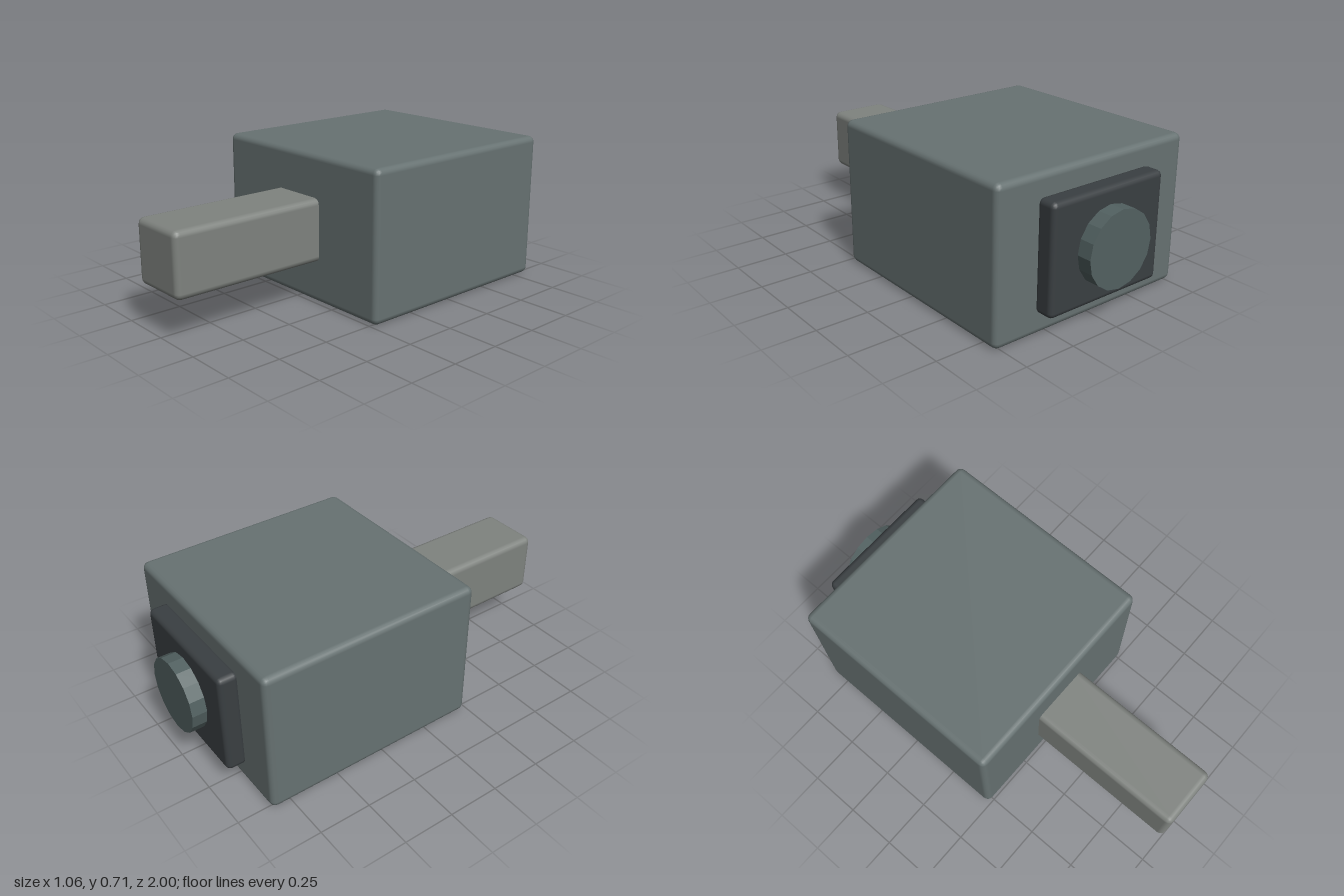
import * as THREE from 'three';
import { RoundedBoxGeometry } from 'three/addons/geometries/RoundedBoxGeometry.js';

const AXIS_Y = 0.355; // shared centre height of all parts

// Soft-edged box centred on the long axis, spanning z0..z1
function softBox(name, width, height, z0, z1, radius, color) {
  const mesh = new THREE.Mesh(
    new RoundedBoxGeometry(width, height, z1 - z0, 2, radius),
    new THREE.MeshStandardMaterial({ color })
  );
  mesh.name = name;
  mesh.position.set(0, AXIS_Y, (z0 + z1) / 2);
  return mesh;
}

export function createModel() {
  const model = new THREE.Group();
  model.name = 'boxWithBar';

  // Main housing, front bar and rear plate
  model.add(
    softBox('housing', 1.06, 0.71, -0.845, 0.24, 0.03, 0x677272),
    softBox('frontBar', 0.303, 0.303, 0.2, 1, 0.03, 0x7f837f),
    softBox('rearPlate', 0.63, 0.505, -0.93, -0.83, 0.025, 0x3a3f42)
  );

  // Faceted round button on the rear plate
  const button = new THREE.Mesh(
    new THREE.CylinderGeometry(0.177, 0.177, 0.1, 16),
    new THREE.MeshStandardMaterial({ color: 0x526161, flatShading: true })
  );
  button.name = 'rearButton';
  button.rotation.x = Math.PI / 2;
  button.position.set(0, AXIS_Y, -0.95);
  model.add(button);

  return model;
}
